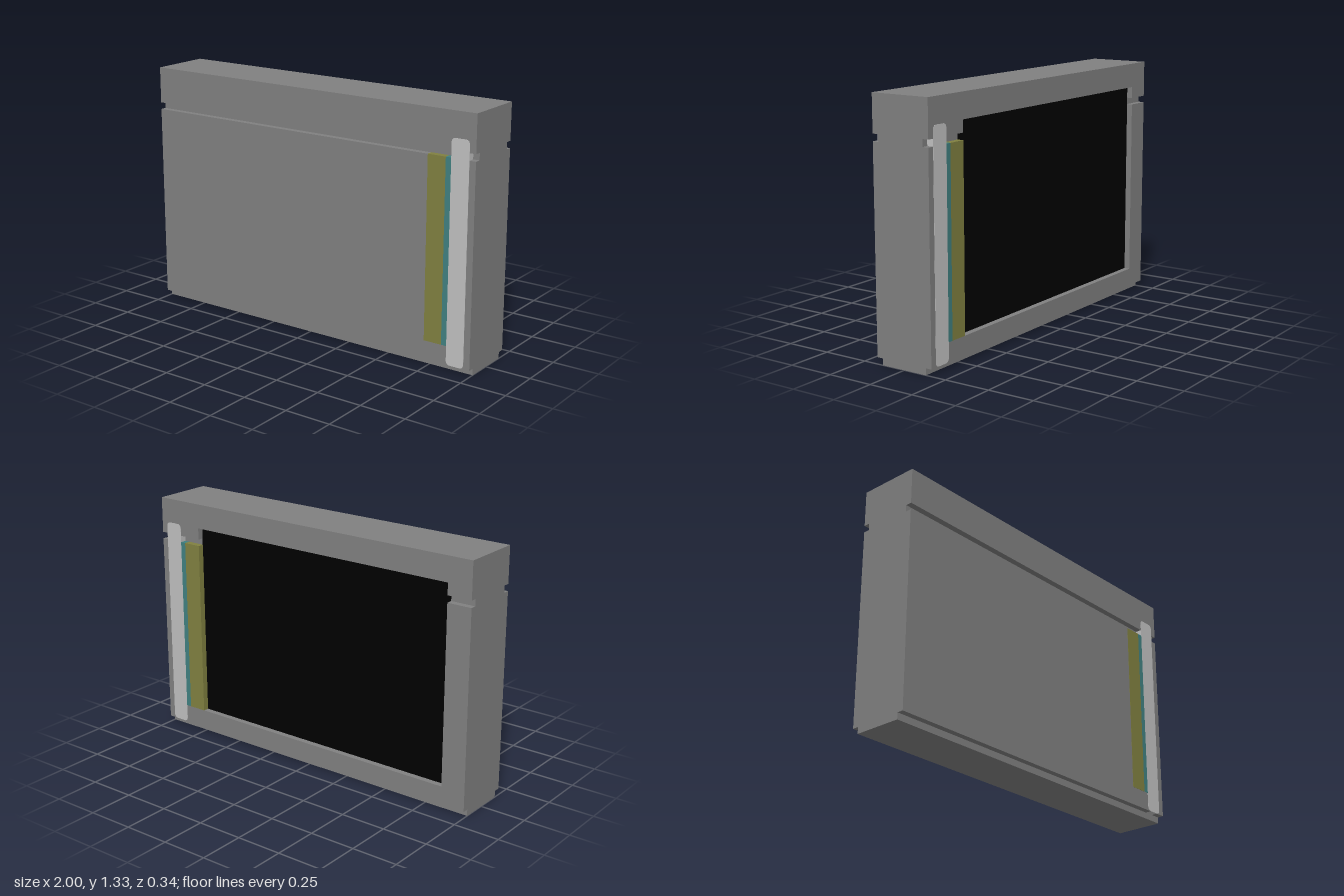
import * as THREE from 'three';

const mat = (name, color, double = false) => new THREE.MeshStandardMaterial({ name, color });

const W = 1, H = 1.333, CORE = 0.133, SKIN = 0.034;   // half width, height, half core depth, skin thickness
const STEP = 0.035, GROOVE_LOW = 1.1, GROOVE_HIGH = 1.137;
const REC = { left: -0.865, right: 0.735, low: 0.135, high: 1.2 };

export function createModel() {
  const group = new THREE.Group();
  const grey = mat('bodyGrey', 0x808080);
  const silver = mat('stripSilver', 0xc0c0c0);
  const olive = mat('olive', 0x808040);
  const teal = mat('teal', 0x408080);
  const black = mat('panelBlack', 0x000000);

  const add = (name, geometry, material) => {
    const mesh = new THREE.Mesh(geometry, material);
    mesh.name = name;
    group.add(mesh);
    return mesh;
  };

  // Box given by its limits
  const box = (name, material, x0, x1, y0, y1, z0, z1) => {
    const mesh = add(name, new THREE.BoxGeometry(x1 - x0, y1 - y0, z1 - z0), material);
    mesh.position.set((x0 + x1) / 2, (y0 + y1) / 2, (z0 + z1) / 2);
  };

  // Flat outline extruded on the back of the core
  const backSkin = (name, points) => {
    const shape = new THREE.Shape(points.map(([x, y]) => new THREE.Vector2(x, y)));
    const geometry = new THREE.ExtrudeGeometry(shape, { depth: SKIN, bevelEnabled: false });
    add(name, geometry, grey).position.z = -CORE - SKIN;
  };

  // Core, narrower than the skins so the grooves and foot step show
  box('core', grey, -W, W, 0, H, -CORE, CORE);

  // Front skins, split by the horizontal groove
  box('frontUpperSkin', grey, -W, W, GROOVE_HIGH, H, CORE, CORE + SKIN);
  box('frontLowerSkin', grey, -W, W, STEP, GROOVE_LOW, CORE, CORE + SKIN);

  // Back skins, cut out around the recess
  backSkin('backUpperSkin', [
    [-W, GROOVE_HIGH], [REC.left, GROOVE_HIGH], [REC.left, REC.high], [REC.right, REC.high],
    [REC.right, GROOVE_HIGH], [W, GROOVE_HIGH], [W, H], [-W, H],
  ]);
  backSkin('backLowerSkin', [
    [-W, STEP], [W, STEP], [W, GROOVE_LOW], [REC.right, GROOVE_LOW],
    [REC.right, REC.low], [REC.left, REC.low], [REC.left, GROOVE_LOW], [-W, GROOVE_LOW],
  ]);

  // Dark panel on the recess floor
  box('recessPanel', black, REC.left, REC.right, REC.low, REC.high, -CORE - 0.002, -CORE + 0.002);

  // Rounded vertical strip outline
  const strip = new THREE.Shape();
  const x0 = 0.865, x1 = 0.965, y0 = STEP, y1 = 1.2, r = 0.022;
  strip.moveTo(x0 + r, y0);
  strip.lineTo(x1 - r, y0);
  strip.absarc(x1 - r, y0 + r, r, -Math.PI / 2, 0);
  strip.lineTo(x1, y1 - r);
  strip.absarc(x1 - r, y1 - r, r, 0, Math.PI / 2);
  strip.lineTo(x0 + r, y1);
  strip.absarc(x0 + r, y1 - r, r, Math.PI / 2, Math.PI);
  strip.lineTo(x0, y0 + r);
  strip.absarc(x0 + r, y0 + r, r, Math.PI, Math.PI * 1.5);
  const proud = 0.001;
  const stripGeometry = new THREE.ExtrudeGeometry(strip, { depth: SKIN + proud, bevelEnabled: false, curveSegments: 6 });

  // Strip and coloured inlays on both faces
  for (const [side, s] of [['front', 1], ['back', -1]]) {
    add(side + 'Strip', stripGeometry, silver).position.z = s > 0 ? CORE : -CORE - SKIN - proud;
    const inner = s * CORE, outer = s * (CORE + SKIN + proud);
    const z = [Math.min(inner, outer), Math.max(inner, outer)];
    box(side + 'OliveInlay', olive, REC.right - proud, 0.835, REC.low, GROOVE_LOW + proud, ...z);
    box(side + 'TealInlay', teal, 0.835, x0, REC.low, GROOVE_LOW + proud, ...z);
  }

  return group;
}
